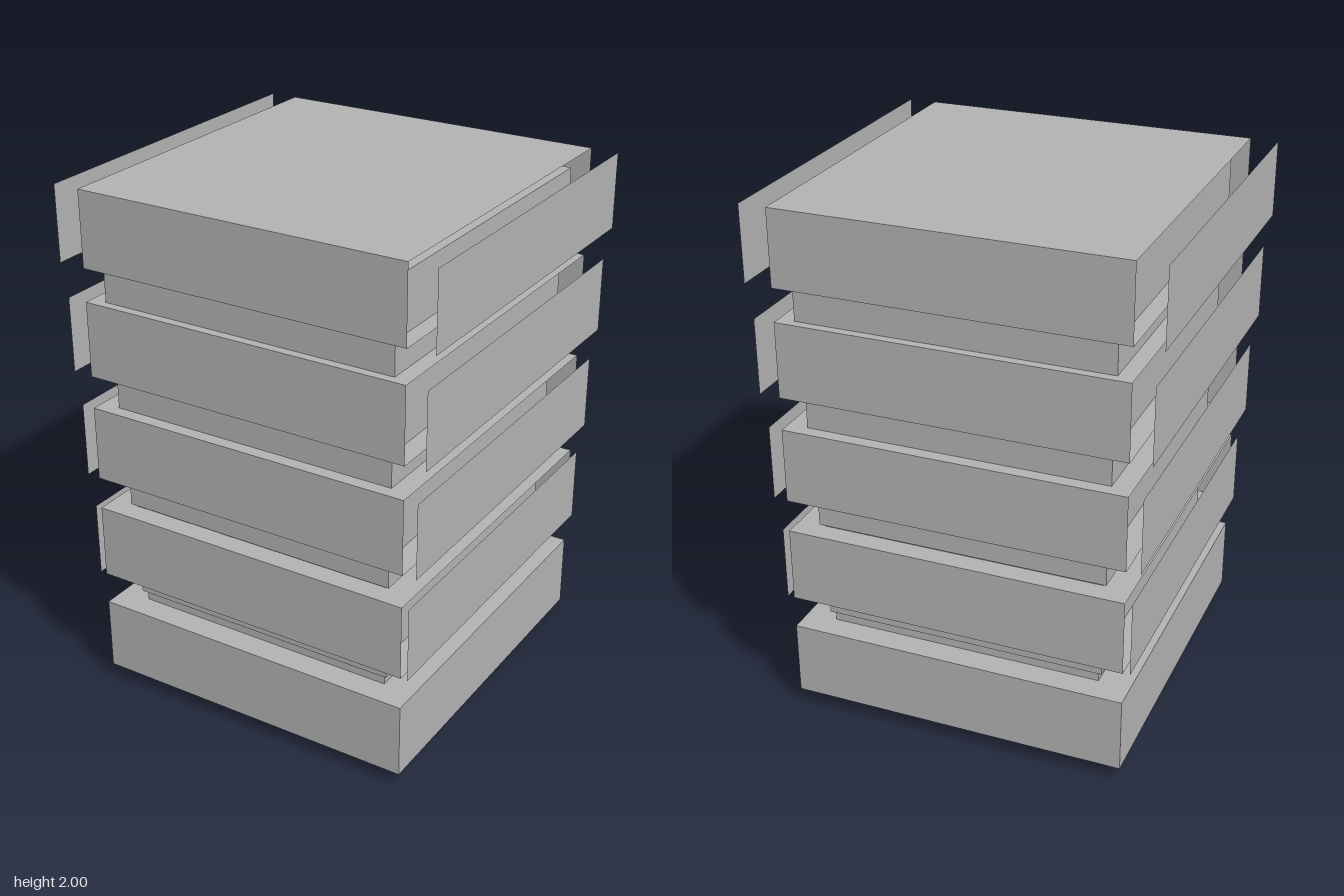
import * as THREE from 'three';

const LEVELS = 5;
const HALF_X = 0.646, HALF_Z = 0.672;   // half size of every tier
const TIER_H = 0.288, TIER_STEP = 0.414, TIER_BASE = 0.056;
const CORE_H = 0.385;

export function createModel() {
  const grey = new THREE.MeshStandardMaterial({ color: 0xb2b2b2, side: THREE.DoubleSide });
  const model = new THREE.Group();
  model.name = 'tieredTower';

  // Flat rectangular sheet, turned to face the wanted way
  function sheet(parent, name, w, h, position, rotX = 0, rotY = 0) {
    const mesh = new THREE.Mesh(new THREE.PlaneGeometry(w, h), grey);
    mesh.name = name;
    mesh.position.set(...position);
    mesh.rotation.set(rotX, rotY, 0);
    parent.add(mesh);
  }

  for (let i = 0; i < LEVELS; i++) {
    // Core block, slightly wider on each level
    const coreX = 0.526 + 0.0148 * i, coreZ = 0.576 + 0.0154 * i;
    const core = new THREE.Mesh(new THREE.BoxGeometry(2 * coreX, CORE_H, 2 * coreZ), grey);
    core.name = 'core' + (i + 1);
    core.position.y = CORE_H * (i + 0.5);
    model.add(core);

    // Tier shell, open at both x ends
    const tier = new THREE.Group();
    tier.name = 'tier' + (i + 1);
    tier.position.y = TIER_BASE + TIER_STEP * i + TIER_H / 2;
    model.add(tier);
    sheet(tier, 'frontWall', 2 * HALF_X, TIER_H, [0, 0, HALF_Z]);
    sheet(tier, 'backWall', 2 * HALF_X, TIER_H, [0, 0, -HALF_Z], 0, Math.PI);
    sheet(tier, 'roof', 2 * HALF_X, 2 * HALF_Z, [0, TIER_H / 2, 0], -Math.PI / 2);
    sheet(tier, 'floor', 2 * HALF_X, 2 * HALF_Z, [0, -TIER_H / 2, 0], Math.PI / 2);

    // Side panels stand further out on each level
    const panelX = HALF_X + 0.026 * i;
    for (const s of [1, -1]) {
      sheet(tier, s > 0 ? 'leftPanel' : 'rightPanel', 2 * HALF_Z, TIER_H,
        [s * panelX, 0, 0], 0, s * Math.PI / 2);
    }
  }
  return model;
}
